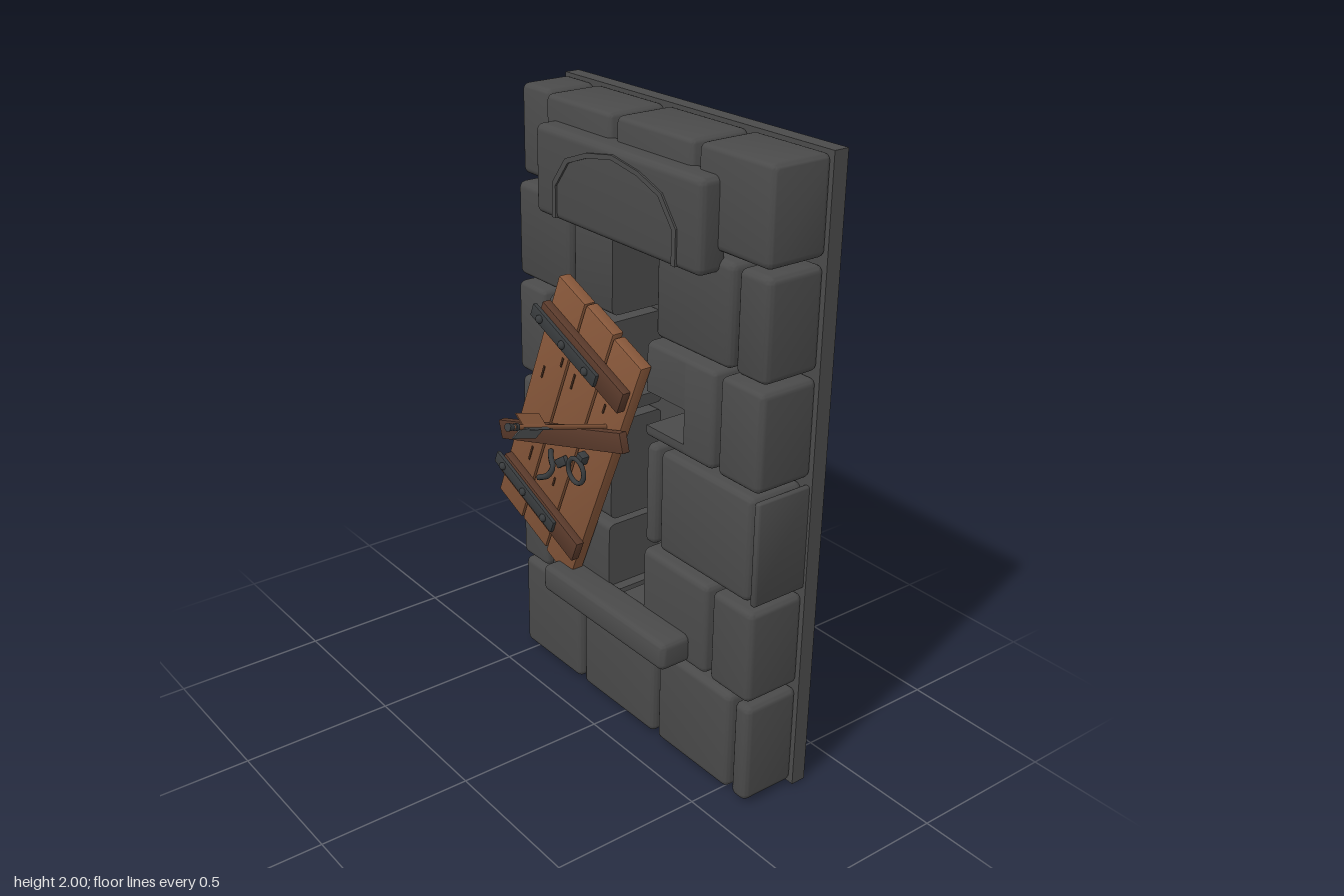
import * as THREE from 'three';
import { toCreasedNormals } from 'three/addons/utils/BufferGeometryUtils.js';
import { RoundedBoxGeometry } from 'three/addons/geometries/RoundedBoxGeometry.js';

const mat = (name, color, side = THREE.FrontSide) => {
  const m = new THREE.MeshStandardMaterial({ color, side });
  m.name = name;
  return m;
};

export function createModel() {
  const stone = mat('stone', 0x4a4a4a);
  const wood = mat('plank wood', 0x87573a);
  const darkWood = mat('dark wood', 0x5a3a2b);
  const iron = mat('iron', 0x393c3e);
  const grain = mat('wood grain', 0x4a2f20);
  const feather = mat('grey feather', 0x55585a, THREE.DoubleSide);
  const brownFeather = mat('brown feather', 0x87573a, THREE.DoubleSide);
  const model = new THREE.Group();

  const add = (parent, name, geo, material, x = 0, y = 0, z = 0, rz = 0) => {
    const m = new THREE.Mesh(geo, material);
    m.name = name;
    m.position.set(x, y, z);
    m.rotation.z = rz;
    parent.add(m);
    return m;
  };
  const box = (parent, name, material, w, h, d, x, y, z, rz = 0, r = 0.004) =>
    add(parent, name, toCreasedNormals(new RoundedBoxGeometry(w, h, d, 1, Math.min(r, d * 0.45)), 0.7),
      material, x, y, z, rz);

  // Rounded block, sliced flat wherever it crosses its clip limits
  const block = (name, x0, x1, y0, y1, z0, z1, clip = {}) => {
    const r = Math.min(0.022, (x1 - x0) * 0.45);
    const g = new RoundedBoxGeometry(x1 - x0, y1 - y0, z1 - z0, 3, r);
    g.translate((x0 + x1) / 2, (y0 + y1) / 2, (z0 + z1) / 2);
    const { l = -9, r: right = 9, b = -9, t = 9 } = clip;
    const p = g.attributes.position;
    for (let i = 0; i < p.count; i++) {
      p.setX(i, Math.min(right, Math.max(l, p.getX(i))));
      p.setY(i, Math.min(t, Math.max(b, p.getY(i))));
    }
    add(model, name, toCreasedNormals(g, 0.6), stone);
  };

  // Wall slab
  add(model, 'wallSlab', new THREE.BoxGeometry(1.176, 2, 0.05), stone, 0.032, 1, -0.33);

  // Stone courses: [bottom, top, [left, right, clip pieces...]...], leaving a cross-shaped slit
  const L = -0.06, R = 0.12, armL = -0.23, armR = 0.29, armB = 1.1, armT = 1.21, slitB = 0.46, slitT = 1.635;
  const courses = [
    [0.01, 0.35, [-0.55, -0.23], [-0.21, 0.165], [0.185, 0.525], [0.545, 0.61]],
    [0.37, 0.68, [-0.55, -0.405], [-0.385, -0.025, { r: L }, { l: L, t: slitB }],
      [-0.005, 0.415, { l: R }, { r: R, t: slitB }], [0.435, 0.61]],
    [0.7, 1.035, [-0.55, -0.27], [-0.25, 0.155, { r: L }, { l: R }], [0.175, 0.58], [0.59, 0.612]],
    [1.06, 1.365, [-0.55, -0.405],
      [-0.385, 0.01, { r: armL }, { l: armL, r: L, t: armB }, { l: armL, r: L, b: armT }],
      [0.03, 0.415, { l: armR }, { l: R, r: armR, t: armB }, { l: R, r: armR, b: armT }], [0.435, 0.61]],
    [1.385, 1.69, [-0.55, -0.28], [-0.26, 0.125, { r: L }, { l: L, b: slitT }], [0.14, 0.465], [0.485, 0.61]],
    [1.71, 1.992, [-0.55, -0.405], [-0.385, -0.065], [-0.045, 0.295], [0.315, 0.612]],
  ];
  courses.forEach(([b, t, ...stones], row) => stones.forEach(([x0, x1, ...clips], i) => {
    const front = row === 5 && i === 0 ? -0.132 : row % 2 ? -0.105 : -0.112;
    (clips.length ? clips : [{}]).forEach((c) => block('wallStone', x0, x1, b, t, -0.31, front, c));
  }));

  // Sill, lintel and the raised arch moulding on it
  block('windowSill', -0.285, 0.34, 0.38, 0.475, -0.12, 0);
  block('lintel', -0.35, 0.41, 1.65, 1.92, -0.14, -0.042);
  const arch = (s) => [[-0.285, -0.125], [-0.285, -0.02], [-0.22, 0.065], [-0.12, 0.102], [0, 0.122],
    [0.12, 0.102], [0.22, 0.065], [0.285, -0.02], [0.285, -0.125]]
    .map(([x, y]) => new THREE.Vector2(x * s, (y + 0.125) * s - 0.125));
  const moulding = new THREE.Shape([...arch(1), ...arch(0.94).reverse()]);
  add(model, 'archMoulding', new THREE.ExtrudeGeometry(moulding, { depth: 0.008, bevelEnabled: false }),
    stone, 0.03, 1.783, -0.044);

  // Broken shutter, hanging askew
  const shutter = new THREE.Group();
  shutter.name = 'shutter';
  shutter.position.set(-0.235, 0.95, 0);
  shutter.rotation.z = -0.396;
  model.add(shutter);
  [[-0.149, 0], [0, 0.004], [0.149, -0.004]].forEach(([x, y]) =>
    box(shutter, 'plank', wood, 0.143, 0.945, 0.042, x, y, -0.079, 0, 0.006));

  // Cross braces with riveted iron straps
  [[0.008, -0.32, -0.063, -0.314], [-0.01, 0.33, -0.08, 0.322]].forEach(([bx, by, sx, sy]) => {
    box(shutter, 'brace', darkWood, 0.44, 0.08, 0.03, bx, by, -0.045);
    box(shutter, 'hingeStrap', iron, 0.35, 0.047, 0.014, sx, sy, -0.024);
    for (const o of [-0.125, 0, 0.125]) {
      const rivet = add(shutter, 'rivet', new THREE.SphereGeometry(0.014, 10, 6), iron, sx + o, sy, -0.014);
      rivet.scale.z = 0.8;
    }
  });

  // Grain marks on the planks
  [[-0.1, 0.22], [-0.17, 0.12], [-0.03, 0.2], [0.13, 0.23], [-0.17, -0.12], [-0.12, -0.2], [0.02, -0.2], [0.12, 0.1]]
    .forEach(([x, y], i) => add(shutter, 'grainMark',
      new THREE.BoxGeometry(0.007, 0.035 + (i % 3) * 0.012, 0.004), grain, x, y, -0.057));

  // Diagonal board nailed across
  box(model, 'diagonalBoard', darkWood, 0.685, 0.066, 0.028, -0.235, 0.95, -0.044, 0.29);

  // Ring pull with its mount
  add(model, 'ringPull', new THREE.TorusGeometry(0.041, 0.008, 8, 20), iron, -0.135, 0.868, -0.03);
  box(model, 'ringMount', iron, 0.03, 0.036, 0.03, -0.122, 0.912, -0.045, -0.4);

  // Bent latch
  const latch = new THREE.CatmullRomCurve3([[-0.3, 0.868, -0.05], [-0.262, 0.862, -0.025], [-0.238, 0.845, -0.014],
    [-0.25, 0.815, -0.004], [-0.295, 0.79, 0.002]].map((p) => new THREE.Vector3(...p)));
  add(model, 'latch', new THREE.TubeGeometry(latch, 14, 0.01, 6), iron);
  box(model, 'latchPlate', iron, 0.06, 0.03, 0.016, -0.235, 0.855, -0.048, 0.6);

  // Arrow stuck in the board, built along +y and then aimed
  const tip = new THREE.Vector3(-0.02, 1.055, -0.06);
  const tail = new THREE.Vector3(0.056, 1.193, 0.345);
  const length = tip.distanceTo(tail);
  const arrow = new THREE.Group();
  arrow.name = 'arrow';
  arrow.position.copy(tip);
  arrow.quaternion.setFromUnitVectors(new THREE.Vector3(0, 1, 0), tail.clone().sub(tip).normalize());
  model.add(arrow);
  add(arrow, 'shaft', new THREE.CylinderGeometry(0.008, 0.008, length - 0.02, 8), wood, 0, length / 2 - 0.01, 0);
  add(arrow, 'nock', new THREE.CylinderGeometry(0.013, 0.01, 0.02, 8), iron, 0, length - 0.01, 0);
  add(arrow, 'nockCollar', new THREE.CylinderGeometry(0.012, 0.012, 0.012, 8), iron, 0, length - 0.034, 0);
  const vane = new THREE.Shape([[0.004, 0], [0.042, 0.014], [0.042, 0.112], [0.004, 0.098]]
    .map((p) => new THREE.Vector2(...p)));
  [[0.35, feather], [2.44, brownFeather], [4.54, feather]].forEach(([a, m]) => {
    const f = add(arrow, 'fletching', new THREE.ExtrudeGeometry(vane, { depth: 0.004, bevelEnabled: false }),
      m, 0, length - 0.16, 0);
    f.rotation.y = a;
  });
  return model;
}
